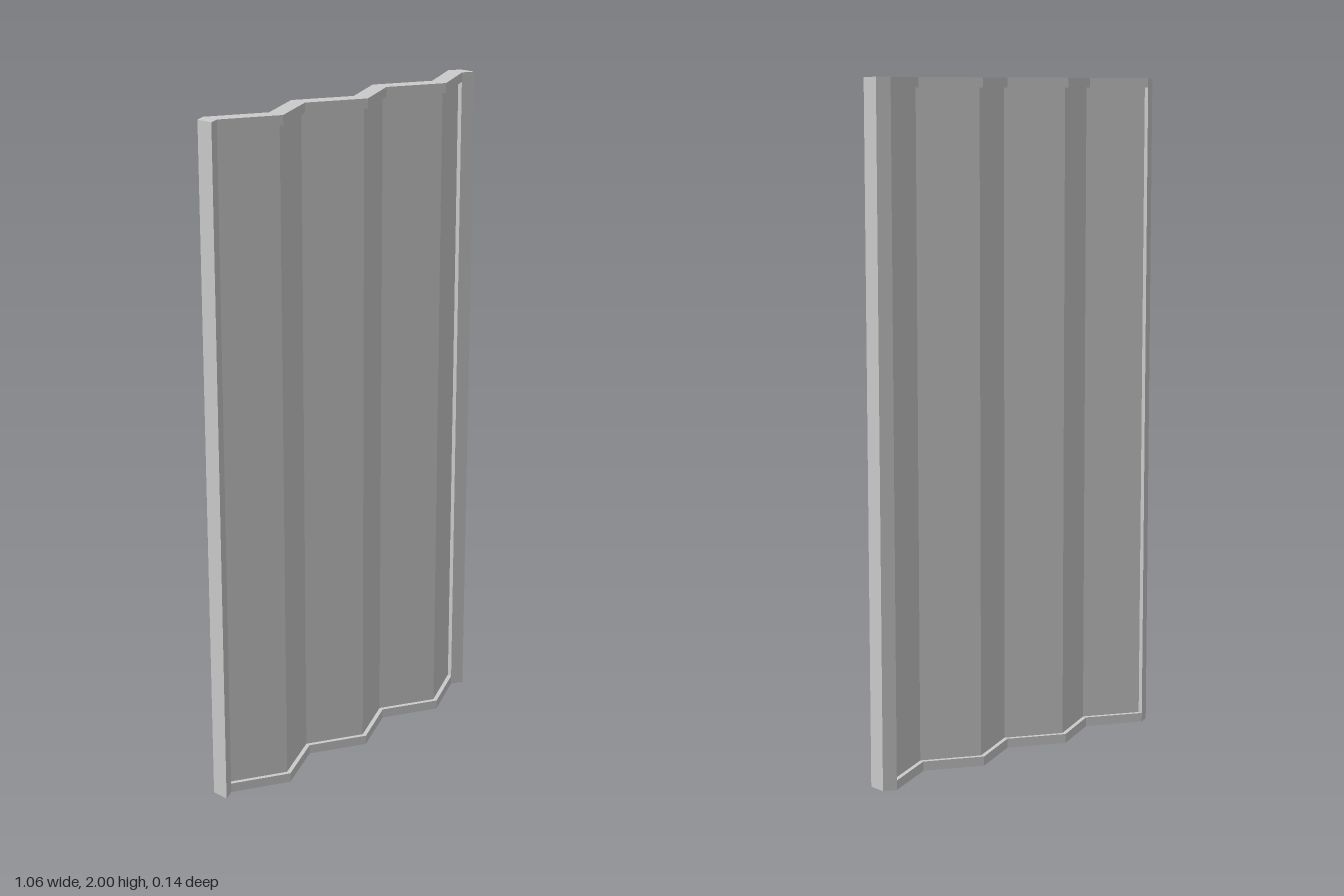
import * as THREE from 'three';

const HEIGHT = 2, RAIL = 0.028;      // overall height, rail height
const PITCH = 0.164, SLOPE = 0.5;    // fold spacing and steepness
const INNER = PITCH * 3, END = 0.528;
const DEPTH = 0.054, RECESS = 0.014; // frame depth, panel setback on each face

// Centre line of the zigzag: forward folds at x = 0 and +-2 pitches
function foldZ(x) {
  const a = Math.abs(x) % (2 * PITCH);
  return 0.041 - SLOPE * Math.min(a, 2 * PITCH - a);
}

// Upright prism following the folds through the given x positions
function foldedStrip(name, xs, depth, y0, y1, material) {
  const front = xs.map(x => new THREE.Vector2(x, -(foldZ(x) + depth / 2)));
  const back = xs.map(x => new THREE.Vector2(x, -(foldZ(x) - depth / 2))).reverse();
  const geometry = new THREE.ExtrudeGeometry(new THREE.Shape([...front, ...back]), {
    depth: y1 - y0, bevelEnabled: false,
  });
  geometry.rotateX(-Math.PI / 2).translate(0, y0, 0);
  const mesh = new THREE.Mesh(geometry, material);
  mesh.name = name;
  return mesh;
}

export function createModel() {
  const group = new THREE.Group();
  group.name = 'foldedScreen';
  const material = new THREE.MeshStandardMaterial({ color: 0xcccccc, flatShading: true });

  const folds = [-3, -2, -1, 0, 1, 2, 3].map(i => i * PITCH);
  const fullWidth = [-END, ...folds, END];
  const top = HEIGHT - RAIL;

  // Frame rails
  group.add(foldedStrip('bottomRail', fullWidth, DEPTH, 0, RAIL, material));
  group.add(foldedStrip('topRail', fullWidth, DEPTH, top, HEIGHT, material));

  // Side posts, turned back beyond the last folds
  group.add(foldedStrip('rightPost', [-END, -INNER], DEPTH, RAIL, top, material));
  group.add(foldedStrip('leftPost', [INNER, END], DEPTH, RAIL, top, material));

  // Thinner pleated panel recessed on both faces
  group.add(foldedStrip('pleatedPanel', folds, DEPTH - 2 * RECESS, RAIL, top, material));

  return group;
}
